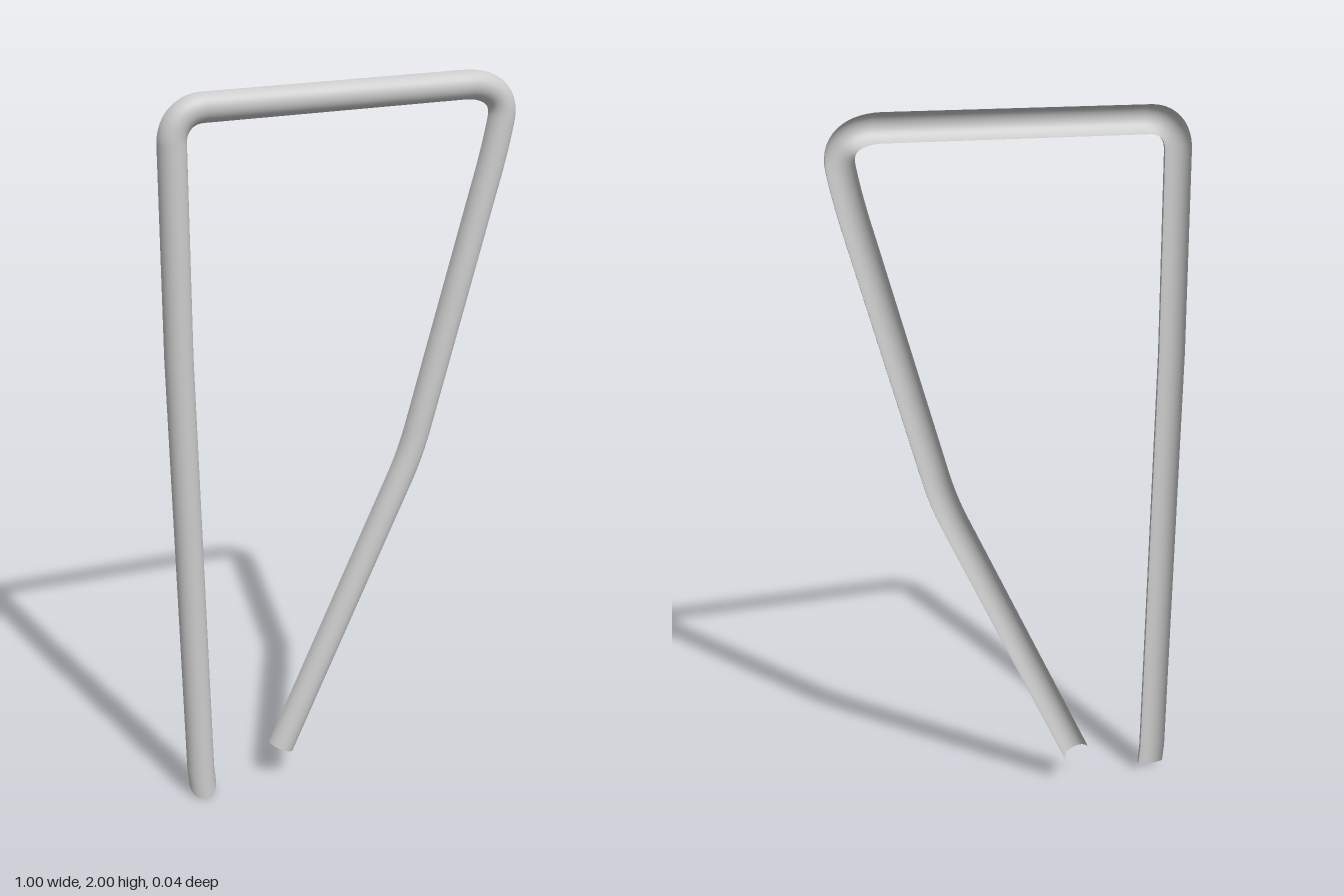
import * as THREE from 'three';

const RADIUS = 0.039; // half-round section, open at the back
const BACK_Z = -0.02;
const SIDES = 14;

// Centre line in the x-y plane, from the foot of the straight leg round to the free end
function framePath() {
  const p = new THREE.Path();
  p.moveTo(-0.435, 0.031);
  p.lineTo(-0.44, 0.08);
  p.lineTo(-0.464, 1.3);
  p.lineTo(-0.464, 1.86);
  p.bezierCurveTo(-0.464, 1.91, -0.43, 1.945, -0.38, 1.946); // upper right-hand bend
  p.lineTo(0.35, 1.961);
  p.bezierCurveTo(0.43, 1.961, 0.47, 1.925, 0.459, 1.865); // upper left-hand bend
  p.quadraticCurveTo(0.443, 1.78, 0.41, 1.67);
  p.lineTo(0.225, 1.02);
  p.quadraticCurveTo(0.202, 0.94, 0.168, 0.87); // knee of the slanted leg
  p.lineTo(-0.197, 0.1);
  return p.getPoints(14);
}

// Sweep a half circle along the path, facing +z
function halfPipe(points) {
  const position = [], index = [];
  const last = points.length - 1;
  points.forEach((c, i) => {
    const a = c.clone().sub(points[Math.max(i - 1, 0)]).normalize();
    const b = points[Math.min(i + 1, last)].clone().sub(c).normalize();
    const t = a.add(b).normalize();
    for (let j = 0; j <= SIDES; j++) {
      const ang = (j / SIDES) * Math.PI;
      const w = Math.cos(ang) * RADIUS, d = Math.sin(ang);
      // the foot is cut at a slope, so its front hangs lower
      const drop = i === 0 ? 0.031 * d : 0;
      position.push(c.x + t.y * w, c.y - t.x * w - drop, BACK_Z + d * RADIUS);
      if (i < last && j < SIDES) {
        const k = i * (SIDES + 1) + j, n = k + SIDES + 1;
        index.push(k, n, k + 1, k + 1, n, n + 1);
      }
    }
  });
  const g = new THREE.BufferGeometry();
  g.setAttribute('position', new THREE.Float32BufferAttribute(position, 3));
  g.setIndex(index);
  g.computeVertexNormals();
  return g;
}

export function createModel() {
  const group = new THREE.Group();
  group.name = 'bentFrame';
  const material = new THREE.MeshStandardMaterial({ color: 0xcccccc, side: THREE.DoubleSide });
  const tube = new THREE.Mesh(halfPipe(framePath()), material);
  tube.name = 'halfRoundTube';
  group.add(tube);
  return group;
}
